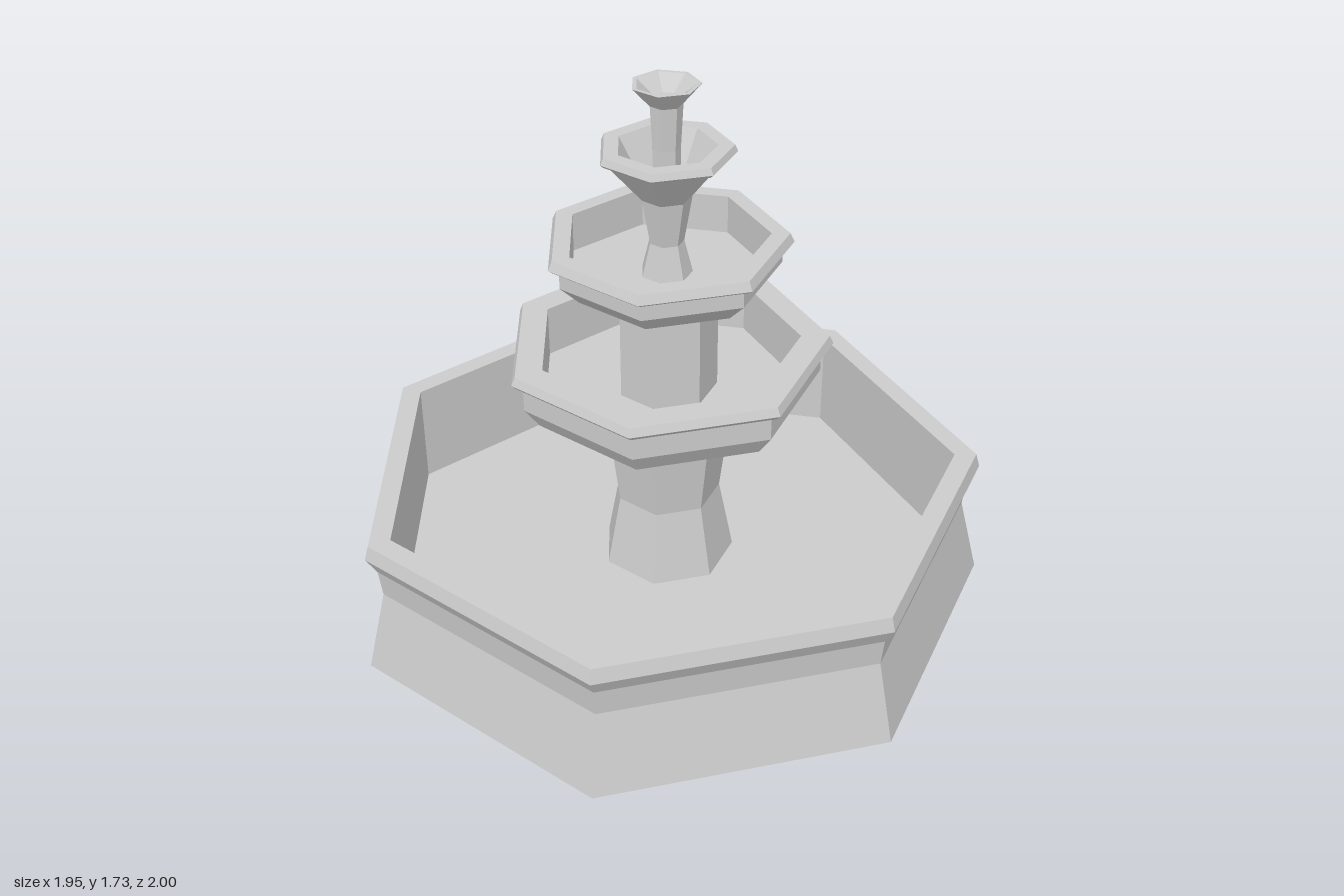
import * as THREE from 'three';

const SIDES = 7;
const CENTRE_X = -0.052; // a heptagon's axis is off the middle of its bounds

const stone = new THREE.MeshStandardMaterial({ color: 0xcccccc, flatShading: true });

// Seven-sided turned part with one corner towards +x; profile is [radius, y] going up the outside
function turned(name, profile) {
  const points = profile.map(([r, y]) => new THREE.Vector2(r, y));
  const geometry = new THREE.LatheGeometry(points, SIDES, Math.PI / 2).toNonIndexed();
  geometry.computeVertexNormals();
  const mesh = new THREE.Mesh(geometry, stone);
  mesh.name = name;
  mesh.position.x = CENTRE_X;
  return mesh;
}

export function createModel() {
  const fountain = new THREE.Group();
  fountain.name = 'fountain';

  fountain.add(
    // Large pool with a waisted wall and a flat floor
    turned('poolBasin', [
      [0, 0], [1.026, 0], [0.96, 0.26], [0.97, 0.35], [1.003, 0.407],
      [0.99, 0.453], [0.92, 0.453], [0.92, 0.11], [0, 0.11],
    ]),
    // Pedestal with a spreading foot
    turned('lowerColumn', [[0.215, 0.1], [0.167, 0.35], [0.212, 0.72]]),
    // Two straight-walled bowls with overhanging, bevelled rims
    turned('lowerBowl', [
      [0, 0.712], [0.427, 0.712], [0.474, 0.78], [0.474, 0.862], [0.494, 0.862],
      [0.51, 0.878], [0.498, 0.904], [0.41, 0.904], [0.41, 0.74], [0, 0.74],
    ]),
    turned('middleColumn', [[0.156, 0.74], [0.156, 1.11]]),
    turned('upperBowl', [
      [0, 1.102], [0.285, 1.102], [0.344, 1.163], [0.344, 1.222], [0.368, 1.222],
      [0.378, 1.23], [0.365, 1.258], [0.31, 1.258], [0.31, 1.135], [0, 1.135],
    ]),
    // Goblet on a slim stem
    turned('goblet', [
      [0.08, 1.13], [0.053, 1.24], [0.077, 1.385], [0.182, 1.512], [0.197, 1.515],
      [0.206, 1.524], [0.197, 1.544], [0.15, 1.544], [0.06, 1.385], [0, 1.385],
    ]),
    // Spout with a small flared cup
    turned('spout', [
      [0.043, 1.38], [0.043, 1.54], [0.05, 1.672], [0.103, 1.732],
      [0.09, 1.732], [0.038, 1.69], [0, 1.69],
    ]),
  );

  return fountain;
}
